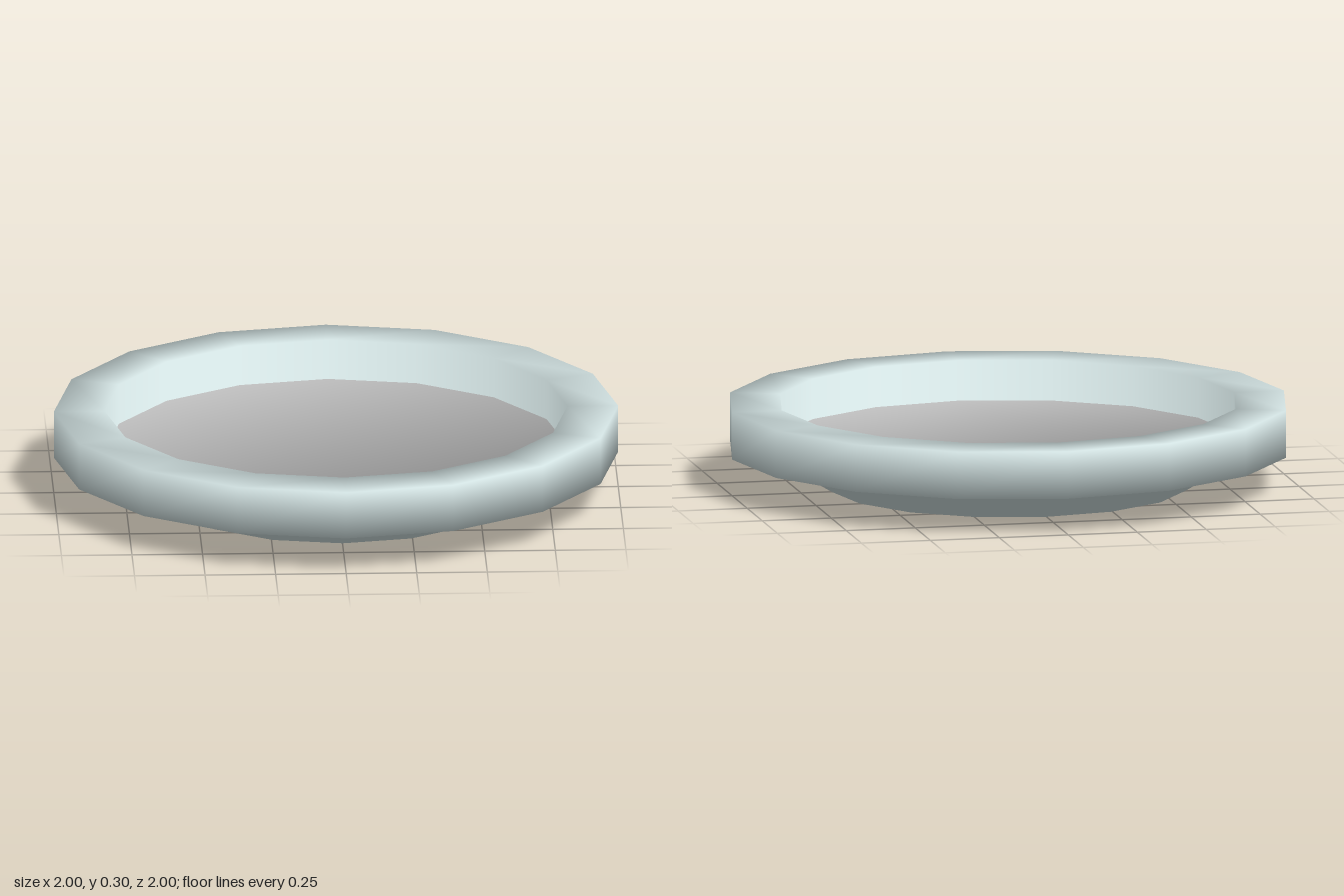
import * as THREE from 'three';

const SIDES = 16;

// Half cross-section [radius, height], from the foot, round the rim, to the floor
const PROFILE = [
  [0.64, 0], [0.855, 0.13], [1, 0.13], [1, 0.3], [0.82, 0.3], [0.82, 0.155],
];

const shellMaterial = new THREE.MeshStandardMaterial({ color: 0xd2e2e2 });
shellMaterial.name = 'pale ceramic';
const floorMaterial = new THREE.MeshStandardMaterial({ color: 0xb8b8b8 });
floorMaterial.name = 'grey';

// Rings of shared vertices with soft normals averaged from neighbouring bands
function buildRings() {
  const closed = [[0, 0], ...PROFILE, [0, 0.155]];
  const bandNormal = (i) => new THREE.Vector2(
    closed[i + 1][1] - closed[i][1], closed[i][0] - closed[i + 1][0]).normalize();
  const positions = [], normals = [];
  PROFILE.forEach(([r, y], i) => {
    const n = bandNormal(i).add(bandNormal(i + 1)).normalize();
    for (let j = 0; j < SIDES; j++) {
      const a = (j / SIDES) * Math.PI * 2;
      positions.push(r * Math.sin(a), y, r * Math.cos(a));
      normals.push(n.x * Math.sin(a), n.y, n.x * Math.cos(a));
    }
  });
  const geometry = new THREE.BufferGeometry();
  geometry.setAttribute('position', new THREE.Float32BufferAttribute(positions, 3));
  geometry.setAttribute('normal', new THREE.Float32BufferAttribute(normals, 3));
  return geometry;
}

export function createModel() {
  const group = new THREE.Group();
  group.name = 'plate';
  const rings = buildRings();
  const last = (PROFILE.length - 1) * SIDES;
  const shellFaces = [], floorFaces = [];

  // Sloped side and square rim
  for (let i = 0; i < PROFILE.length - 1; i++) {
    for (let j = 0; j < SIDES; j++) {
      const a = i * SIDES + j, b = i * SIDES + (j + 1) % SIDES;
      shellFaces.push(a, b, b + SIDES, a, b + SIDES, a + SIDES);
    }
  }
  // Flat underside and inner floor
  for (let j = 1; j < SIDES - 1; j++) {
    shellFaces.push(0, j + 1, j);
    floorFaces.push(last, last + j, last + j + 1);
  }

  const addPart = (name, faces, material) => {
    const geometry = rings.clone();
    geometry.setIndex(faces);
    const mesh = new THREE.Mesh(geometry, material);
    mesh.name = name;
    group.add(mesh);
  };
  addPart('rimAndBase', shellFaces, shellMaterial);
  addPart('innerFloor', floorFaces, floorMaterial);
  return group;
}
